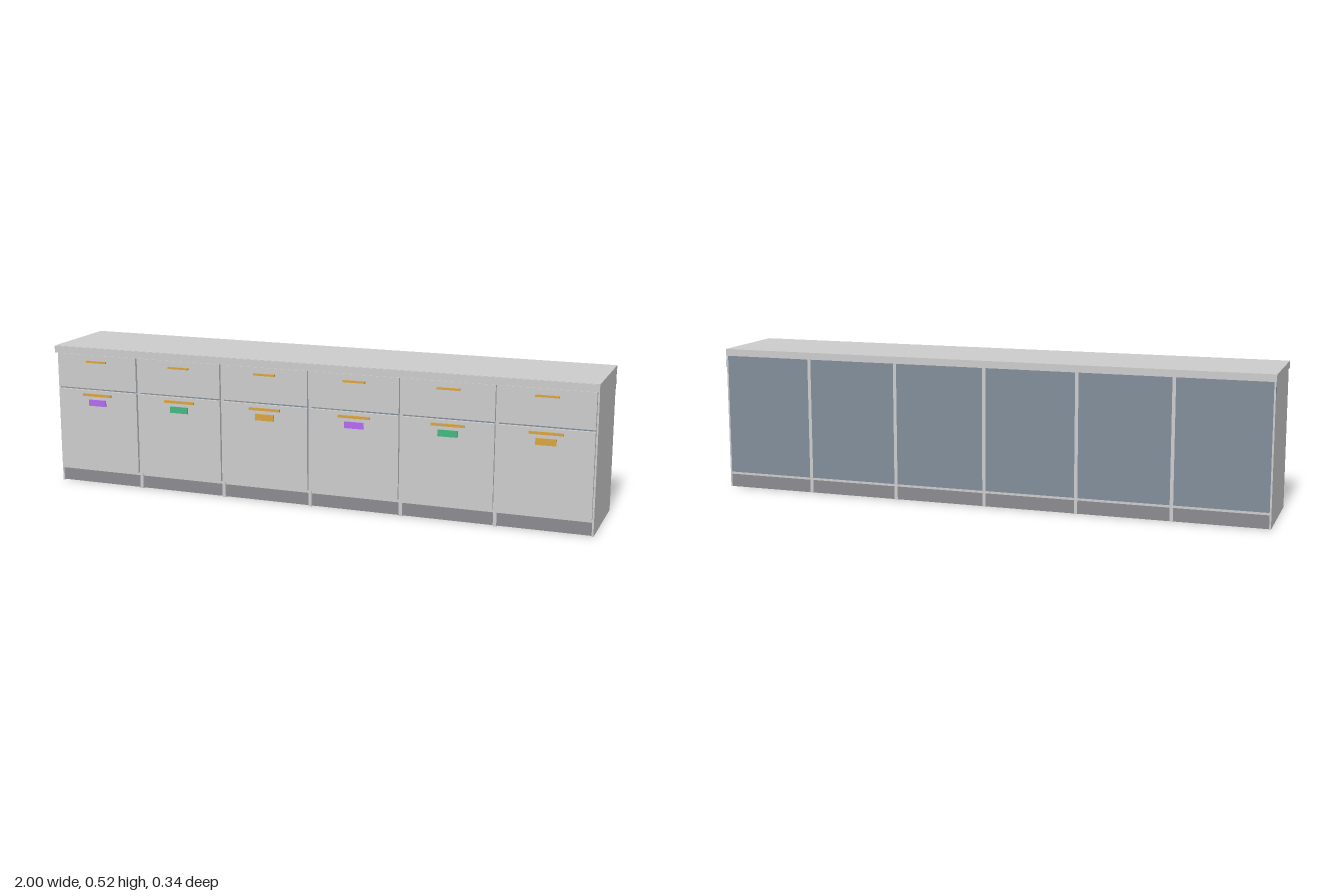
import * as THREE from 'three';

const mat = (color) => new THREE.MeshStandardMaterial({ color });
const grey = mat(0xcccccc);
const plinthGrey = mat(0x8c8c90);
const backBlue = mat(0x828e9b);
const brass = mat(0xd9a441);
const labelMats = [mat(0xb56cf0), mat(0x45b880), brass];

// Box given by its min/max extents on each axis
function box(name, material, [x0, x1], [y0, y1], [z0, z1]) {
  const mesh = new THREE.Mesh(new THREE.BoxGeometry(x1 - x0, y1 - y0, z1 - z0), material);
  mesh.position.set((x0 + x1) / 2, (y0 + y1) / 2, (z0 + z1) / 2);
  mesh.name = name;
  return mesh;
}

const UNITS = 6;
const HALF = 0.998 / UNITS; // half the width of one cabinet
const T = 0.006;            // board thickness

function createCabinet(i) {
  const unit = new THREE.Group();
  unit.name = 'cabinet' + (i + 1);
  const inner = [-HALF + T, HALF - T];
  const front = [-0.16, 0.16];
  const centred = (w) => [-w / 2, w / 2];

  // Carcass
  for (const s of [-1, 1]) {
    const x = s < 0 ? [-HALF, -HALF + T] : [HALF - T, HALF];
    unit.add(box('sidePanel', grey, x, [0, 0.491], [-0.17, 0.155]));
  }
  unit.add(
    box('plinth', plinthGrey, inner, [0.001, 0.048], [-0.169, 0.147]),
    box('bottomBoard', grey, inner, [0.048, 0.056], [-0.1695, 0.153]),
    box('backPanel', backBlue, inner, [0.056, 0.489], [-0.169, -0.163]),
  );

  // Drawer front and door
  unit.add(
    box('drawerFront', grey, front, [0.363, 0.488], [0.155, 0.166]),
    box('door', grey, front, [0.06, 0.356], [0.155, 0.166]),
  );

  // Handles and coloured label
  unit.add(
    box('drawerHandle', brass, centred(0.08), [0.46, 0.467], [0.166, 0.172]),
    box('doorHandle', brass, centred(0.116), [0.335, 0.344], [0.166, 0.172]),
    box('doorLabel', labelMats[i % 3], centred(0.07), [0.299, 0.322], [0.166, 0.17]),
  );
  return unit;
}

export function createModel() {
  const model = new THREE.Group();
  model.name = 'cabinetRow';

  for (let i = 0; i < UNITS; i++) {
    const unit = createCabinet(i);
    unit.position.x = (2 * i + 1 - UNITS) * HALF;
    model.add(unit);
  }

  // Worktop with a front lip, and the rail along the back
  model.add(
    box('worktop', grey, [-1, 1], [0.491, 0.516], [-0.171, 0.168]),
    box('worktopFrontLip', grey, [-1, 1], [0.49, 0.515], [0.168, 0.172]),
    box('backRail', backBlue, [-0.9995, 0.9995], [0.435, 0.491], [-0.1695, -0.163]),
  );
  return model;
}
